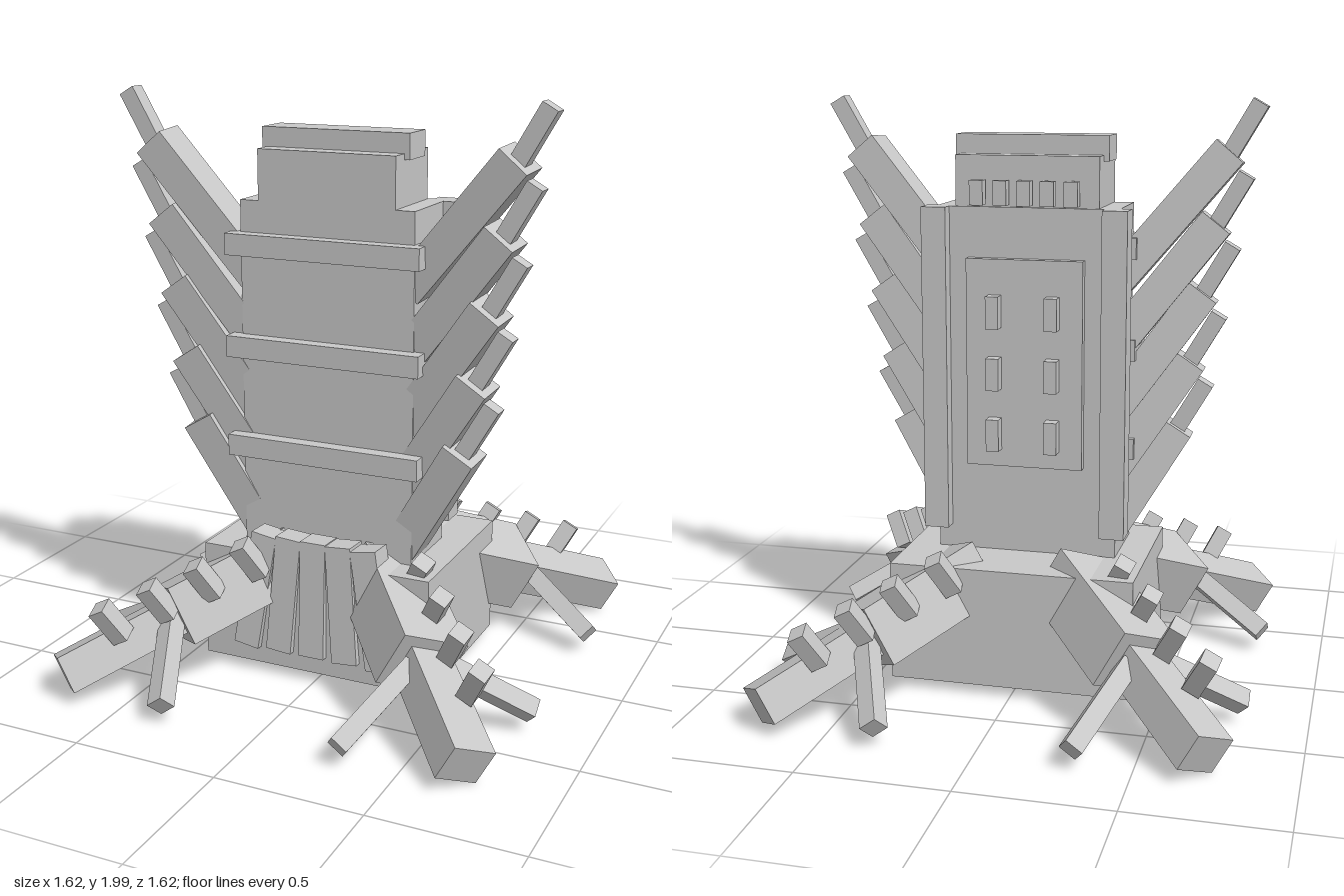
import * as THREE from 'three';

const stone = new THREE.MeshStandardMaterial({ color: 0xc8c8c8 });
stone.name = 'light grey stone';

const V = (x, y, z) => new THREE.Vector3(x, y, z);

// Box given by its extents on each axis
function block(parent, name, [x0, x1], [y0, y1], [z0, z1]) {
  const m = new THREE.Mesh(new THREE.BoxGeometry(x1 - x0, y1 - y0, z1 - z0), stone);
  m.position.set((x0 + x1) / 2, (y0 + y1) / 2, (z0 + z1) / 2);
  m.name = name;
  parent.add(m);
}

// Box running from a to b, with its depth axis kept close to hint
function beam(parent, name, a, b, width, depth, hint = V(0, 0, 1)) {
  const y = b.clone().sub(a);
  const length = y.length();
  y.normalize();
  const x = y.clone().cross(hint).normalize();
  const z = x.clone().cross(y);
  const m = new THREE.Mesh(new THREE.BoxGeometry(width, length, depth), stone);
  m.quaternion.setFromRotationMatrix(new THREE.Matrix4().makeBasis(x, y, z));
  m.position.copy(a).add(b).multiplyScalar(0.5);
  m.name = name;
  parent.add(m);
}

// Diagonal leg: thick hip, thinner foot, two struts and a row of studs
function addLeg(root, sx, sz) {
  const leg = new THREE.Group();
  leg.name = (sz > 0 ? 'front' : 'back') + (sx > 0 ? 'Left' : 'Right') + 'Leg';
  root.add(leg);

  const limb = new THREE.Group();
  limb.name = 'limb';
  limb.position.set(sx * 0.457, 0.231, sz * 0.452);
  limb.rotation.set(0, Math.atan2(-sz, sx), -sx * 0.5, 'ZYX');
  leg.add(limb);
  block(limb, 'hip', [-0.45, 0], [-0.105, 0.105], [-0.12, 0.12]);
  block(limb, 'foot', [-0.05, 0.422], [-0.065, 0.065], [-0.074, 0.074]);

  const P = (x, y, z) => V(sx * x, y, sz * z);
  beam(leg, 'strut', P(0.5, 0.245, 0.44), P(0.79, 0.075, 0.315), 0.063, 0.063, V(1, 0, 0));
  beam(leg, 'strut', P(0.44, 0.245, 0.5), P(0.315, 0.075, 0.79), 0.063, 0.063);

  // The stud row sits to one side of the leg, alternating around the base
  const outer = sx * sz > 0;
  for (let i = 0; i < 4; i++) {
    const x = outer ? 0.36 + 0.11 * i : 0.225 + 0.118 * i;
    const z = outer ? 0.25 + 0.115 * i : 0.365 + 0.108 * i;
    const y = 0.44 - 0.055 * i;
    beam(leg, 'stud', P(x - 0.038, y - 0.06, z - 0.04), P(x + 0.022, y + 0.055, z + 0.01), 0.06, 0.065);
  }
}

// Five stacked blades with thin tips, fanned along one side of the backrest
function addWing(root, sx) {
  const wing = new THREE.Group();
  wing.name = sx > 0 ? 'leftWing' : 'rightWing';
  root.add(wing);
  for (let i = 0; i < 5; i++) {
    const ex = 0.643 - 0.04 * i, ey = 1.82 - 0.238 * i;
    const angle = THREE.MathUtils.degToRad(50 + 2.3 * i);
    const length = 0.57 - 0.03 * i;
    const inner = V(sx * (ex - Math.cos(angle) * length), ey - Math.sin(angle) * length, 0.124);
    beam(wing, 'blade', inner, V(sx * ex, ey, 0.17), 0.118, 0.13);
    beam(wing, 'bladeTip', V(sx * (ex - 0.022), ey - 0.045, 0.172), V(sx * (ex + 0.097), ey + 0.161, 0.172), 0.058, 0.058);
  }
}

export function createModel() {
  const root = new THREE.Group();
  root.name = 'throne';

  // Base and backrest
  block(root, 'base', [-0.418, 0.418], [0.04, 0.45], [-0.315, 0.307]);
  block(root, 'backrest', [-0.312, 0.312], [0.44, 1.64], [-0.08, 0.2]);
  block(root, 'headrest', [-0.245, 0.245], [1.62, 1.81], [-0.07, 0.2]);
  block(root, 'cap', [-0.263, 0.263], [1.79, 1.875], [0, 0.13]);

  // Cross bands wrapping the front
  for (const y of [0.765, 1.112, 1.46])
    block(root, 'band', [-0.348, 0.348], [y, y + 0.073], [0.052, 0.25]);

  // Rear corner posts
  for (const s of [-1, 1])
    block(root, 'rearPost', s > 0 ? [0.265, 0.35] : [-0.35, -0.265], [0.53, 1.64], [-0.13, -0.042]);

  // Rear panel with studs and an upper stud row
  block(root, 'rearPanel', [-0.2, 0.2], [0.76, 1.47], [-0.112, -0.07]);
  for (const x of [-0.1, 0.1])
    for (const y of [0.82, 1.03, 1.24])
      block(root, 'panelStud', [x - 0.022, x + 0.022], [y, y + 0.11], [-0.157, -0.1]);
  for (let i = -2; i <= 2; i++)
    block(root, 'upperStud', [i * 0.08 - 0.023, i * 0.08 + 0.023], [1.648, 1.73], [-0.125, -0.086]);

  // Slats down the front of the base, fanning apart towards the floor
  for (let i = -2; i <= 2; i++)
    beam(root, 'frontSlat', V(i * 0.125, 0.105, 0.285), V(i * 0.092, 0.515, 0.266), 0.093, 0.095);

  for (const sx of [-1, 1]) {
    addWing(root, sx);
    for (const sz of [-1, 1]) addLeg(root, sx, sz);
  }
  return root;
}
